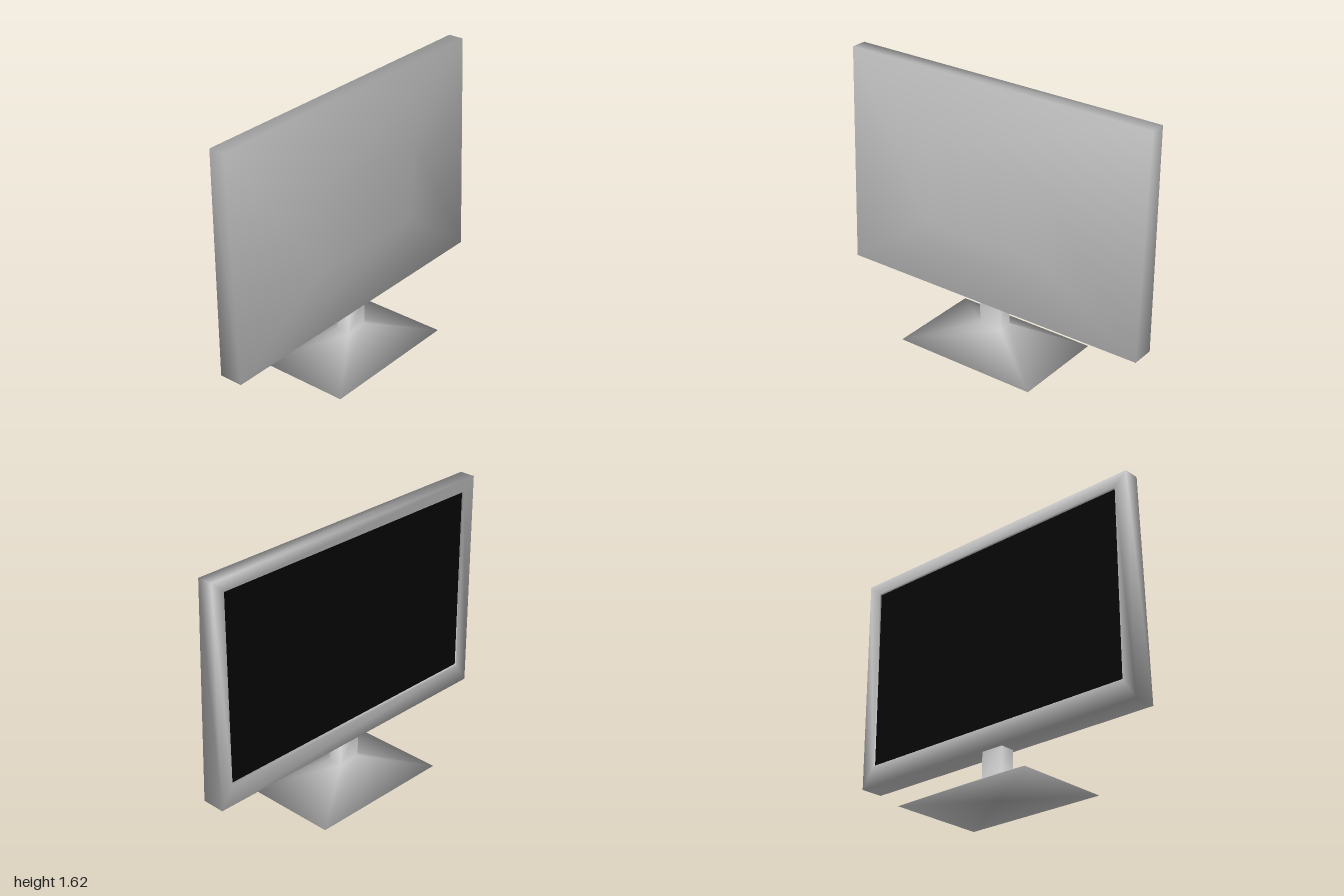
import * as THREE from 'three';

const CORNERS = [[-1, -1], [1, -1], [1, 1], [-1, 1]];

// Smooth welded skin through four-cornered rings, listed along the loft axis
function loft(rings, startCap, endCap) {
  const pos = rings.flat(2), index = [];
  for (let i = 0; i < rings.length - 1; i++) {
    for (let j = 0; j < 4; j++) {
      const a = i * 4 + j, b = i * 4 + (j + 1) % 4;
      index.push(a, b, b + 4, a, b + 4, a + 4);
    }
  }
  if (startCap) {
    const c = pos.length / 3;
    pos.push(...startCap);
    for (let j = 0; j < 4; j++) index.push(c, (j + 1) % 4, j);
  }
  if (endCap) {
    const e = (rings.length - 1) * 4;
    index.push(e, e + 1, e + 2, e, e + 2, e + 3);
  }
  const geo = new THREE.BufferGeometry();
  geo.setAttribute('position', new THREE.Float32BufferAttribute(pos, 3));
  geo.setIndex(index);
  geo.computeVertexNormals();
  return geo;
}

// Upright ring for the display; depth may differ between bottom and top
const panelRing = (xBottom, xTop, y0, y1, z) =>
  CORNERS.map(([v, w]) => [v < 0 ? xBottom : xTop, v < 0 ? y0 : y1, w * z]);

// Level ring for the stand
const standRing = (y, x, z) => CORNERS.map(([w, u]) => [u * x, y, w * z]);

export function createModel() {
  const plastic = new THREE.MeshStandardMaterial({ color: 0xc0c0c0 });
  plastic.name = 'silver plastic';
  const glass = new THREE.MeshStandardMaterial({ color: 0x060606 });
  glass.name = 'black screen';

  const group = new THREE.Group();
  const add = (name, geo, mat) => {
    const mesh = new THREE.Mesh(geo, mat);
    mesh.name = name;
    group.add(mesh);
    return mesh;
  };

  // Housing: recess lip, bezel, rim, then the raised back
  add('housing', loft([
    panelRing(-0.06, -0.06, 0.42, 1.545, 0.915),
    panelRing(-0.073, -0.073, 0.41, 1.55, 0.92),
    panelRing(-0.073, -0.073, 0.287, 1.623, 1),
    panelRing(0.07, 0.022, 0.287, 1.623, 1),
    panelRing(0.123, 0.123, 0.72, 1.2, 0.4),
  ], null, true), plastic);

  // Screen faces -x, just inside the bezel
  const screen = add('screen', new THREE.PlaneGeometry(1.83, 1.125), glass);
  screen.rotation.y = -Math.PI / 2;
  screen.position.set(-0.06, 0.9825, 0);

  // Pyramid foot rising into a square neck
  add('stand', loft([
    standRing(0, 0.3, 0.457),
    standRing(0.135, 0.045, 0.072),
    standRing(0.32, 0.045, 0.072),
  ], [0, 0, 0], true), plastic);

  return group;
}
